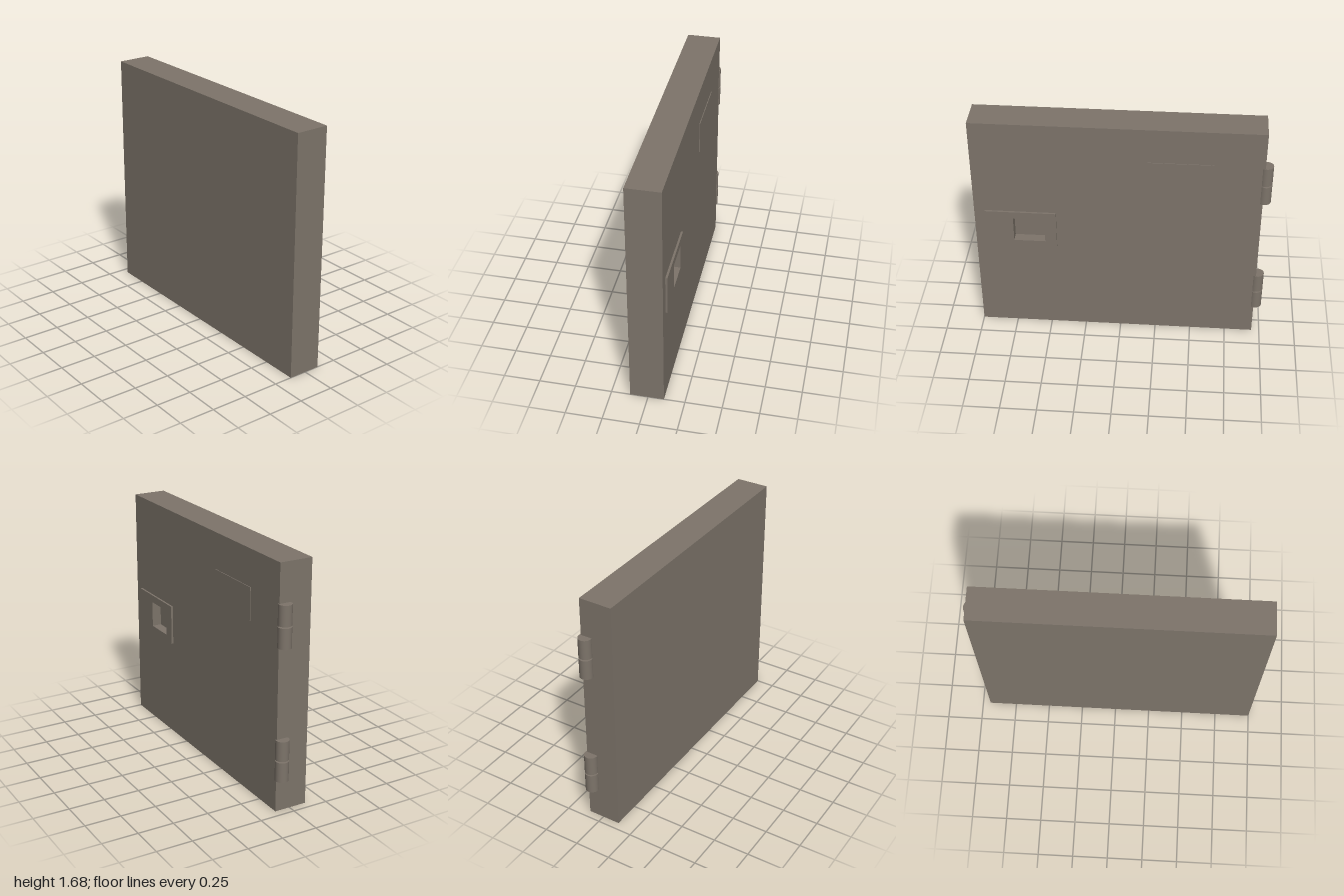
import * as THREE from 'three';

const metal = new THREE.MeshStandardMaterial({ color: 0x7d746a });
metal.name = 'warm grey metal';

// Finger recess opening, shared by the door and the latch plate
const RECESS = [0.52, 0.735, 0.745, 0.93];

const trace = (path, [x0, x1, y0, y1]) => {
  path.moveTo(x0, y0);
  path.lineTo(x1, y0);
  path.lineTo(x1, y1);
  path.lineTo(x0, y1);
  path.closePath();
  return path;
};

function add(group, name, geometry) {
  const mesh = new THREE.Mesh(geometry, metal);
  mesh.name = name;
  group.add(mesh);
  return mesh;
}

// Solid block between two depths
function block(group, name, [x0, x1, y0, y1], z0, z1) {
  add(group, name, new THREE.BoxGeometry(x1 - x0, y1 - y0, z1 - z0))
    .position.set((x0 + x1) / 2, (y0 + y1) / 2, (z0 + z1) / 2);
}

// Slab pierced by the recess opening
function piercedSlab(group, name, rect, z0, z1) {
  const shape = trace(new THREE.Shape(), rect);
  shape.holes.push(trace(new THREE.Path(), RECESS));
  add(group, name, new THREE.ExtrudeGeometry(shape, { depth: z1 - z0, bevelEnabled: false }))
    .position.z = z0;
}

export function createModel() {
  const model = new THREE.Group();
  model.name = 'hingedDoor';

  // Door: solid front layer, and a back layer with the finger recess
  const door = [-0.945, 1, 0, 1.68];
  const back = -0.108, recessFloor = -0.055;
  block(model, 'doorFront', door, recessFloor, 0.122);
  piercedSlab(model, 'doorBack', door, back, recessFloor);

  // Latch plate around the recess, and a thin plain plate
  piercedSlab(model, 'latchPlate', [0.44, 0.928, 0.7, 0.983], -0.122, back);
  block(model, 'thinPlate', [-0.613, -0.177, 1.205, 1.43], -0.113, back);

  // Two hinges, each with a lower and an upper barrel
  [0.368, 1.276].forEach((y, i) => {
    const hinge = new THREE.Group();
    hinge.name = i ? 'upperHinge' : 'lowerHinge';
    hinge.position.set(-0.955, y, -0.072);
    for (const side of [-1, 1]) {
      add(hinge, side < 0 ? 'lowerBarrel' : 'upperBarrel',
        new THREE.CylinderGeometry(0.045, 0.045, 0.138, 32)).position.y = side * 0.074;
    }
    model.add(hinge);
  });

  return model;
}
